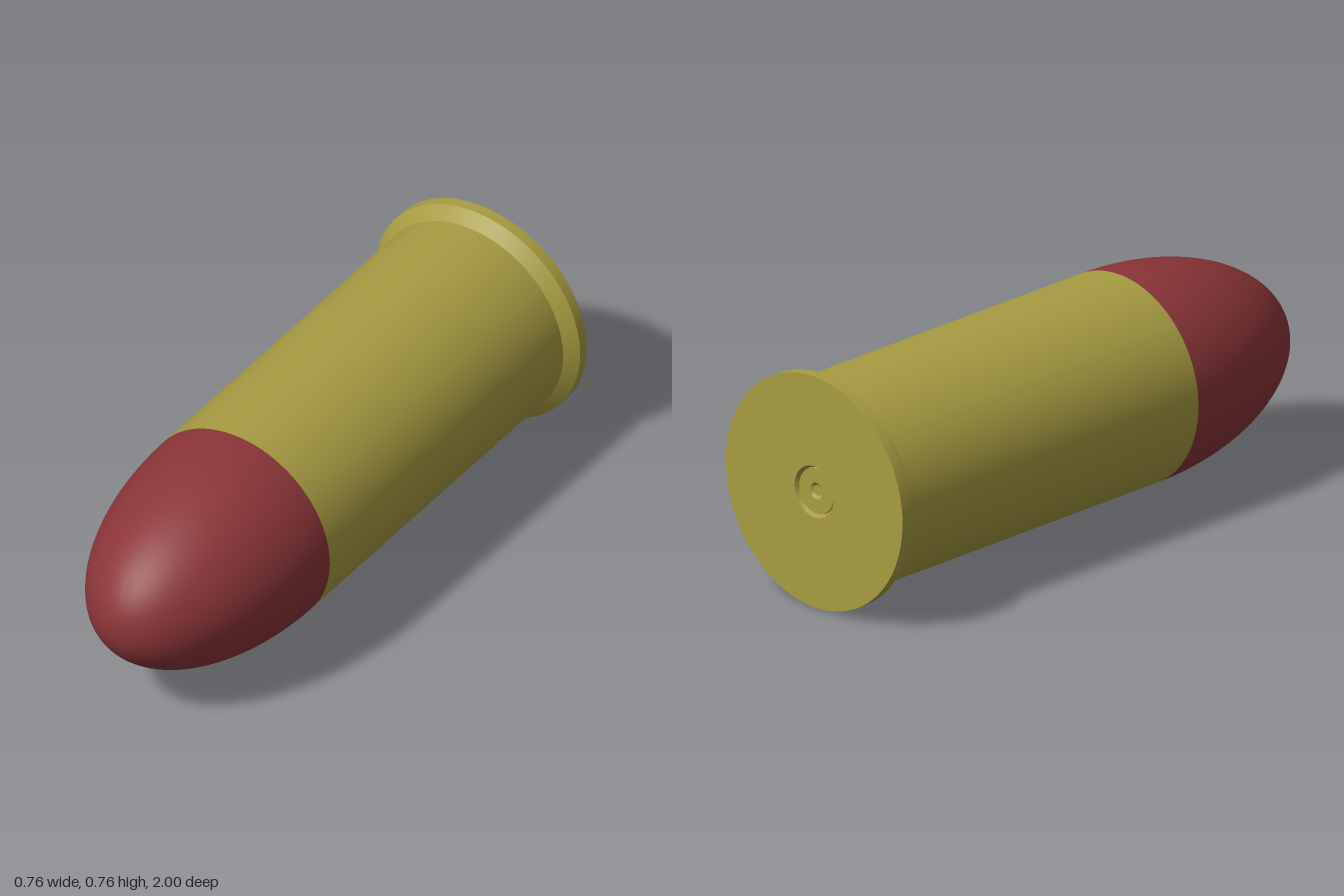
import * as THREE from 'three';
import { toCreasedNormals } from 'three/addons/utils/BufferGeometryUtils.js';

const AXIS_Y = 0.381, BODY_R = 0.342, RIM_R = 0.381, MOUTH_Z = 0.336;

// Revolves [radius, z] pairs, listed from back to front, about the long axis.
function revolve(name, profile, material) {
  const points = profile.map(([r, z]) => new THREE.Vector2(r, z));
  const geometry = new THREE.LatheGeometry(points, 96);
  geometry.rotateX(Math.PI / 2);
  const mesh = new THREE.Mesh(toCreasedNormals(geometry, 0.5), material);
  mesh.name = name;
  mesh.position.y = AXIS_Y;
  return mesh;
}

export function createModel() {
  const group = new THREE.Group();
  group.name = 'cartridge';
  const brass = new THREE.MeshStandardMaterial({ color: 0xa89c42 });
  const red = new THREE.MeshStandardMaterial({ color: 0x8b3538 });

  // Primer cap with a small central dimple, slightly sunk in the base
  group.add(revolve('primer', [
    [0, -0.982], [0.018, -0.982], [0.027, -0.99], [0.074, -0.99], [0.076, -0.98],
  ], brass));

  // Base with primer pocket, rim and its chamfer
  group.add(revolve('rim', [
    [0.074, -0.98], [0.084, -1], [RIM_R, -1], [RIM_R, -0.963], [BODY_R, -0.927],
  ], brass));

  // Straight case wall
  group.add(revolve('case', [[BODY_R, -0.927], [BODY_R, MOUTH_Z]], brass));

  // Half-ellipsoid projectile
  const nose = [];
  for (let i = 0; i <= 32; i++) {
    const t = (i / 32) * Math.PI / 2;
    nose.push([i === 32 ? 0 : BODY_R * Math.cos(t), MOUTH_Z + (1 - MOUTH_Z) * Math.sin(t)]);
  }
  group.add(revolve('projectile', nose, red));

  return group;
}
